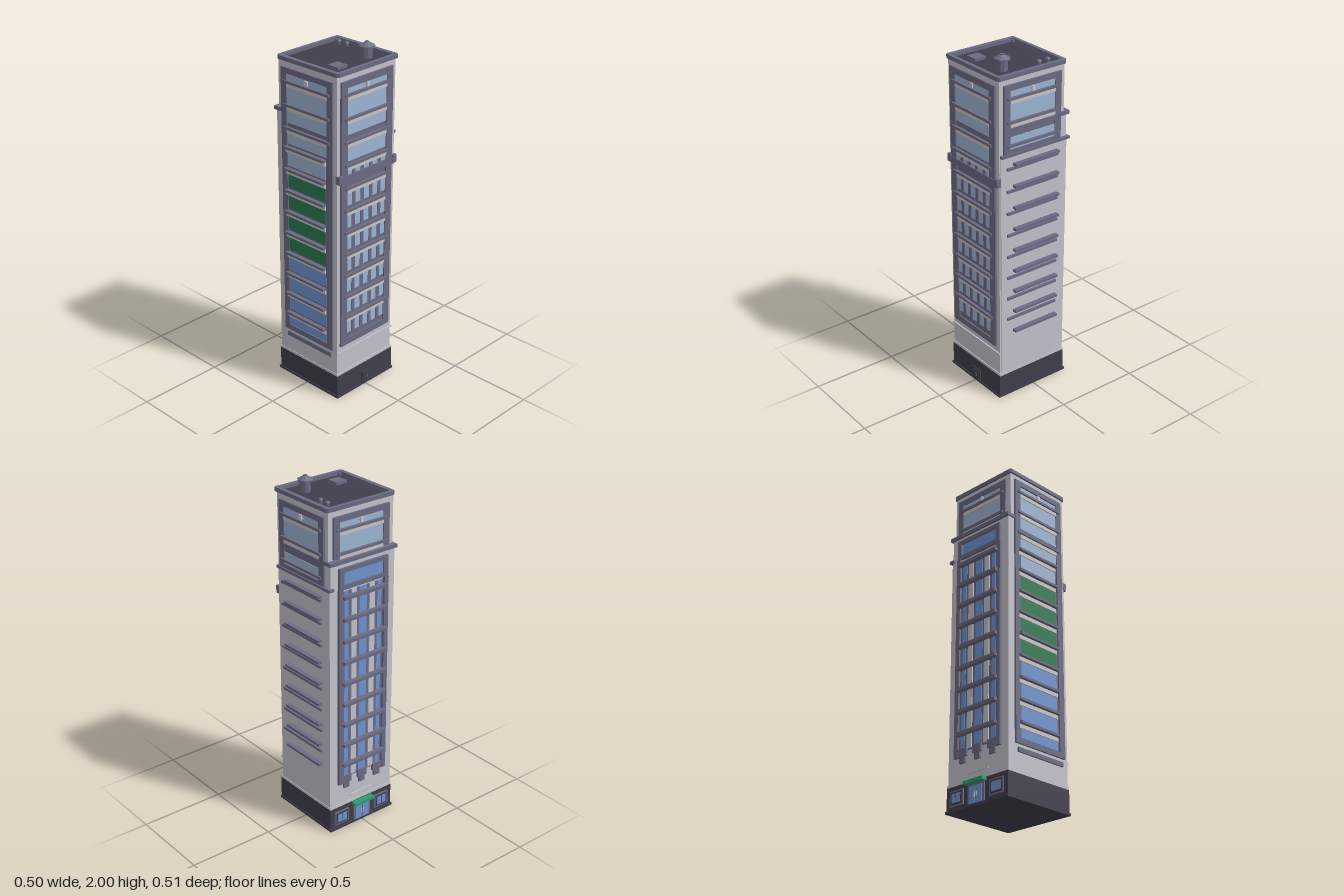
import * as THREE from 'three';

const mat = (name, color) => {
  const m = new THREE.MeshStandardMaterial({ color });
  m.name = name;
  return m;
};
const stone = mat('pale stone', 0xc3c2cc);
const trim = mat('slate trim', 0x6b6b83);
const dark = mat('dark base', 0x403e4b);
const glass = mat('window glass', 0x9db4d2);
const sill = mat('warm spandrel', 0xcac5c6);
const blueGlass = mat('blue glass', 0x6f94cf);
const greenGlass = mat('green glass', 0x2c7a52);
const green = mat('canopy green', 0x2f9a72);

function add(parent, name, geo, material, x = 0, y = 0, z = 0) {
  const m = new THREE.Mesh(geo, material);
  m.name = name;
  m.position.set(x, y, z);
  parent.add(m);
  return m;
}

// box given by its limits
function block(parent, name, material, x0, x1, y0, y1, z0, z1) {
  return add(parent, name, new THREE.BoxGeometry(x1 - x0, y1 - y0, z1 - z0), material,
    (x0 + x1) / 2, (y0 + y1) / 2, (z0 + z1) / 2);
}

// group whose local +z points out of one wall
function facade(parent, name, angle, distance) {
  const g = new THREE.Group();
  g.name = name;
  g.rotation.y = angle;
  g.position.set(Math.sin(angle) * distance, 0, Math.cos(angle) * distance);
  parent.add(g);
  return g;
}

// rectangular ring with a backing plate
function frame(g, cx, half, y0, y1, w, depth = 0.011, back = trim) {
  block(g, 'panelBack', back, cx - half, cx + half, y0, y1, -0.004, 0.003);
  for (const s of [-1, 1]) {
    const a = cx + s * half, b = cx + s * (half - w);
    block(g, 'frameSide', trim, Math.min(a, b), Math.max(a, b), y0, y1, 0, depth);
  }
  block(g, 'frameTop', trim, cx - half, cx + half, y1 - w * 0.8, y1, 0, depth);
  block(g, 'frameBottom', trim, cx - half, cx + half, y0, y0 + w * 0.8, 0, depth);
}

function ledge(g, cx, half, y, depth, h = 0.014) {
  block(g, 'ledge', trim, cx - half, cx + half, y - h / 2, y + h / 2, 0, depth);
}

function pane(g, cx, half, y0, y1, material = glass) {
  block(g, 'window', material, cx - half, cx + half, y0, y1, 0, 0.006);
}

// ledge, pale spandrel and window hanging below it
function floor(g, cx, y, { depth = 0.02, half = 0.17, h = 0.075, mullions = 0, material = glass } = {}) {
  ledge(g, cx, half, y, depth);
  block(g, 'spandrel', sill, cx - 0.148, cx + 0.148, y - 0.03, y - 0.008, 0, 0.012);
  pane(g, cx, 0.148, y - 0.03 - h, y - 0.03, material);
  for (let i = 0; i < mullions; i++) {
    const x = cx + (i - (mullions - 1) / 2) * 0.066;
    block(g, 'mullion', trim, x - 0.012, x + 0.012, y - 0.03 - h, y - 0.03, 0, 0.009);
  }
}

// tall windows near the top, shared by all walls
function topWindow(g, cx) {
  pane(g, cx, 0.148, 1.805, 1.84);
  block(g, 'lamp', sill, cx - 0.01, cx + 0.01, 1.81, 1.838, 0, 0.014);
  floor(g, cx, 1.8, { h: 0.095 });
  ledge(g, cx, 0.17, 1.67, 0.02);
  block(g, 'spandrel', sill, cx - 0.148, cx + 0.148, 1.64, 1.662, 0, 0.012);
}

export function createModel() {
  const root = new THREE.Group();
  root.name = 'officeTower';

  // masses
  block(root, 'baseSlab', dark, -0.228, 0.228, 0, 0.014, -0.23, 0.245);
  block(root, 'base', dark, -0.222, 0.224, 0.014, 0.14, -0.222, 0.24);
  block(root, 'tower', stone, -0.22, 0.216, 0.14, 1.905, -0.197, 0.232);
  block(root, 'rightWing', stone, 0.1, 0.222, 0.14, 1.48, -0.215, 0.225);
  block(root, 'rightWingLedge', trim, 0.2, 0.234, 1.48, 1.495, -0.228, 0.226);
  block(root, 'backWing', stone, -0.22, 0.216, 0.14, 1.62, -0.215, -0.19);
  block(root, 'backWingLedge', trim, -0.228, 0.228, 1.62, 1.64, -0.228, -0.15);
  block(root, 'baseCourse', stone, -0.223, 0.225, 0.14, 0.155, -0.22, 0.237);

  // parapet and roof
  const chamfered = (x0, x1, y0, y1, c) => [[x0 + c, y0], [x1 - c, y0], [x1, y0 + c], [x1, y1 - c],
    [x1 - c, y1], [x0 + c, y1], [x0, y1 - c], [x0, y0 + c]].map(p => new THREE.Vector2(...p));
  const rim = new THREE.Shape(chamfered(-0.228, 0.228, -0.245, 0.205, 0.01));
  rim.holes.push(new THREE.Path(chamfered(-0.203, 0.203, -0.222, 0.185, 0.002).reverse()));
  const rimGeo = new THREE.ExtrudeGeometry(rim, { depth: 0.022, bevelEnabled: false }).rotateX(-Math.PI / 2);
  add(root, 'parapet', rimGeo, trim, 0, 1.908, 0);
  block(root, 'roof', dark, -0.21, 0.21, 1.9, 1.91, -0.195, 0.23);
  for (const x of [-0.196, 0.196]) for (const z of [-0.178, 0.215])
    block(root, 'cornerBracket', trim, x - 0.007, x + 0.007, 1.91, 1.924, z - 0.007, z + 0.007);
  block(root, 'roofHatch', trim, -0.146, -0.075, 1.91, 1.925, 0.093, 0.164);
  const profile = [[0.03, 0], [0.03, 0.058], [0.043, 0.06], [0.043, 0.068], [0.011, 0.086], [0.011, 0.09], [0, 0.09]]
    .map(p => new THREE.Vector2(...p));
  const ventGeo = new THREE.LatheGeometry(profile, 10).toNonIndexed();
  ventGeo.computeVertexNormals();
  add(root, 'roofVent', ventGeo, trim, 0.108, 1.91, 0.128);
  for (const z of [-0.128, -0.07]) {
    add(root, 'pipe', new THREE.CylinderGeometry(0.009, 0.009, 0.024, 10), trim, 0.163, 1.92, z);
    add(root, 'pipeCap', new THREE.CylinderGeometry(0.01, 0.014, 0.008, 10), trim, 0.163, 1.934, z);
  }

  // front: framed strip of offices
  const front = facade(root, 'frontFacade', 0, 0.232);
  frame(front, -0.004, 0.194, 0.325, 1.875, 0.046);
  topWindow(front, -0.004);
  floor(front, -0.004, 1.67, { h: 0.062 });
  floor(front, -0.004, 1.54, { h: 0.08 });
  floor(front, -0.004, 1.41, { h: 0.03, mullions: 4 });
  for (let k = 0; k < 7; k++) floor(front, -0.004, 0.5 + k * 0.13, { mullions: 4 });
  pane(front, -0.004, 0.148, 1.18, 1.25);
  for (let i = 0; i < 4; i++) {
    const x = -0.004 + (i - 1.5) * 0.066;
    block(front, 'mullion', trim, x - 0.012, x + 0.012, 1.18, 1.25, 0, 0.009);
  }
  block(front, 'belt', trim, -0.205, 0.205, 1.315, 1.355, 0, 0.015);
  for (const x of [-0.208, 0.208]) block(front, 'beltKnob', trim, x - 0.014, x + 0.014, 1.32, 1.365, -0.01, 0.018);
  block(front, 'stringCourse', stone, -0.222, 0.222, 0.28, 0.29, 0, 0.008);
  block(front, 'serviceDoorFrame', dark, -0.03, 0.045, 0.012, 0.085, 0, 0.014);
  block(front, 'serviceDoor', dark, -0.018, 0.033, 0.012, 0.072, 0, 0.018);
  block(front, 'doorHandle', trim, 0.008, 0.014, 0.035, 0.055, 0, 0.021);

  // right: blank wall with paired ribs, windows above
  const right = facade(root, 'rightFacade', Math.PI / 2, 0.216);
  frame(right, -0.018, 0.188, 1.485, 1.875, 0.04);
  topWindow(right, -0.018);
  block(right, 'transom', trim, -0.206, 0.17, 1.605, 1.635, 0, 0.011);
  pane(right, -0.018, 0.148, 1.5, 1.585);
  ledge(right, -0.018, 0.17, 1.54, 0.02);
  for (let k = 0; k < 9; k++) {
    ledge(right, 0.002, 0.148, 0.415 + k * 0.127, 0.033);
    if (k < 8) ledge(right, -0.018, 0.17, 0.5 + k * 0.13, 0.018);
  }

  // left: wide office windows, some tinted green
  const left = facade(root, 'leftFacade', -Math.PI / 2, 0.22);
  frame(left, 0.018, 0.188, 0.3, 1.875, 0.04);
  topWindow(left, 0.018);
  floor(left, 0.018, 1.67, { h: 0.07 });
  floor(left, 0.018, 1.54, { h: 0.06 });
  for (let k = 0; k < 9; k++) {
    const tinted = k >= 4 && k <= 7;
    floor(left, 0.005, 0.415 + k * 0.127, { depth: 0.028, half: 0.148, h: k ? 0.08 : 0.05, material: tinted ? greenGlass : k > 7 ? glass : blueGlass });
  }
  block(left, 'lowerSill', trim, -0.15, 0.19, 0.255, 0.28, 0, 0.01);

  // back, upper part
  const upper = facade(root, 'backUpperFacade', Math.PI, 0.197);
  frame(upper, 0, 0.188, 1.645, 1.875, 0.04);
  topWindow(upper, 0);

  // back, lower part: shoulder window and vertical strips
  const back = facade(root, 'backFacade', Math.PI, 0.215);
  frame(back, 0, 0.165, 1.475, 1.595, 0.03, 0.016);
  pane(back, 0, 0.135, 1.5, 1.57, blueGlass);
  block(back, 'stripPanel', trim, -0.165, 0.165, 0.32, 1.46, -0.004, 0.003);
  for (const s of [-1, 1]) {
    block(back, 'pier', trim, s * 0.155 - 0.014, s * 0.155 + 0.014, 0.29, 1.475, 0, 0.016);
    block(back, 'paleStrip', stone, s * 0.062 - 0.018, s * 0.062 + 0.018, 0.33, 1.46, 0, 0.009);
    block(back, 'outerGlassStrip', blueGlass, s * 0.113 - 0.014, s * 0.113 + 0.014, 0.33, 1.46, 0, 0.006);
  }
  block(back, 'centreGlassStrip', blueGlass, -0.026, 0.026, 0.33, 1.46, 0, 0.006);
  for (const x of [-0.11, 0, 0.11]) {
    block(back, 'corbel', trim, x - 0.032, x + 0.032, 0.29, 0.335, 0, 0.014);
    block(back, 'corbelFoot', trim, x - 0.02, x + 0.02, 0.255, 0.29, 0, 0.012);
  }
  for (let k = 0; k < 9; k++) ledge(back, 0.002, 0.148, 0.415 + k * 0.127, 0.035, 0.018);
  block(back, 'signRail', stone, -0.08, 0.08, 0.185, 0.193, 0, 0.007);

  // street entrance
  block(back, 'canopy', green, -0.07, 0.07, 0.12, 0.138, 0, 0.041);
  block(back, 'doorFrame', trim, -0.06, 0.06, 0.01, 0.12, 0, 0.014);
  for (const s of [-1, 1]) {
    block(back, 'doorLeaf', blueGlass, s * 0.025 - 0.021, s * 0.025 + 0.021, 0.015, 0.108, 0.01, 0.018);
    block(back, 'doorHandle', sill, s * 0.009 - 0.002, s * 0.009 + 0.002, 0.045, 0.075, 0.014, 0.021);
    const x = s * 0.145;
    block(back, 'shopFrame', trim, x - 0.05, x + 0.05, 0.03, 0.115, 0, 0.013);
    block(back, 'shopRecess', dark, x - 0.042, x + 0.042, 0.038, 0.107, 0, 0.015);
    for (const t of [-1, 1])
      block(back, 'shopWindow', blueGlass, x + t * 0.017 - 0.014, x + t * 0.017 + 0.014, 0.048, 0.098, 0.01, 0.018);
  }
  return root;
}
